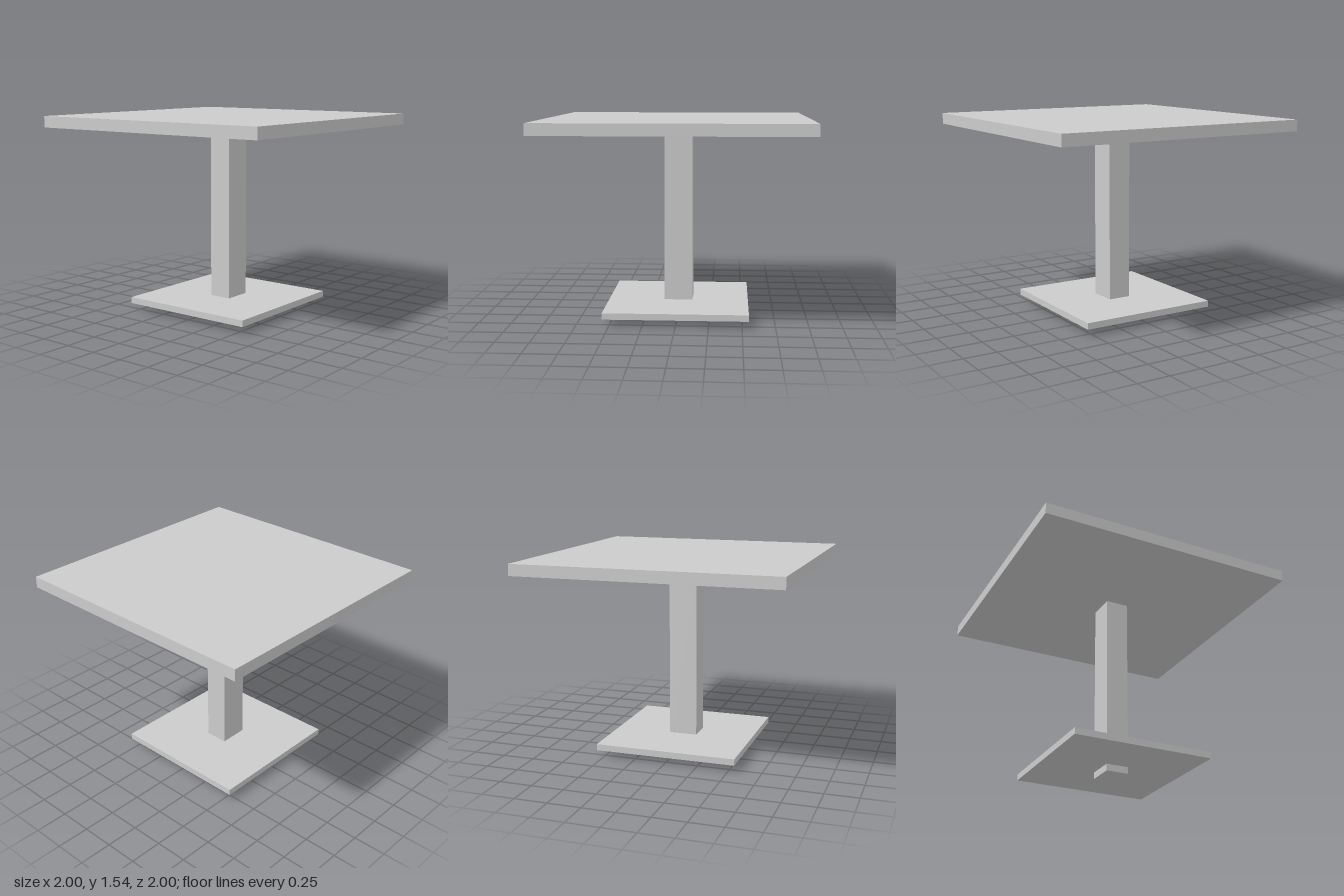
import * as THREE from 'three';

const material = new THREE.MeshStandardMaterial({ color: 0xcccccc, flatShading: true });

// Centred box spanning the heights y0 to y1
function slab(name, width, depth, y0, y1) {
  const mesh = new THREE.Mesh(new THREE.BoxGeometry(width, y1 - y0, depth), material);
  mesh.position.y = (y0 + y1) / 2;
  mesh.name = name;
  return mesh;
}

export function createModel() {
  const table = new THREE.Group();
  table.name = 'pedestalTable';
  table.add(
    slab('tableTop', 2, 2, 1.453, 1.54),
    // The column passes through the base plate down to the floor
    slab('column', 0.22, 0.18, 0, 1.453),
    slab('basePlate', 1.1, 1.1, 0.053, 0.102),
  );
  return table;
}
